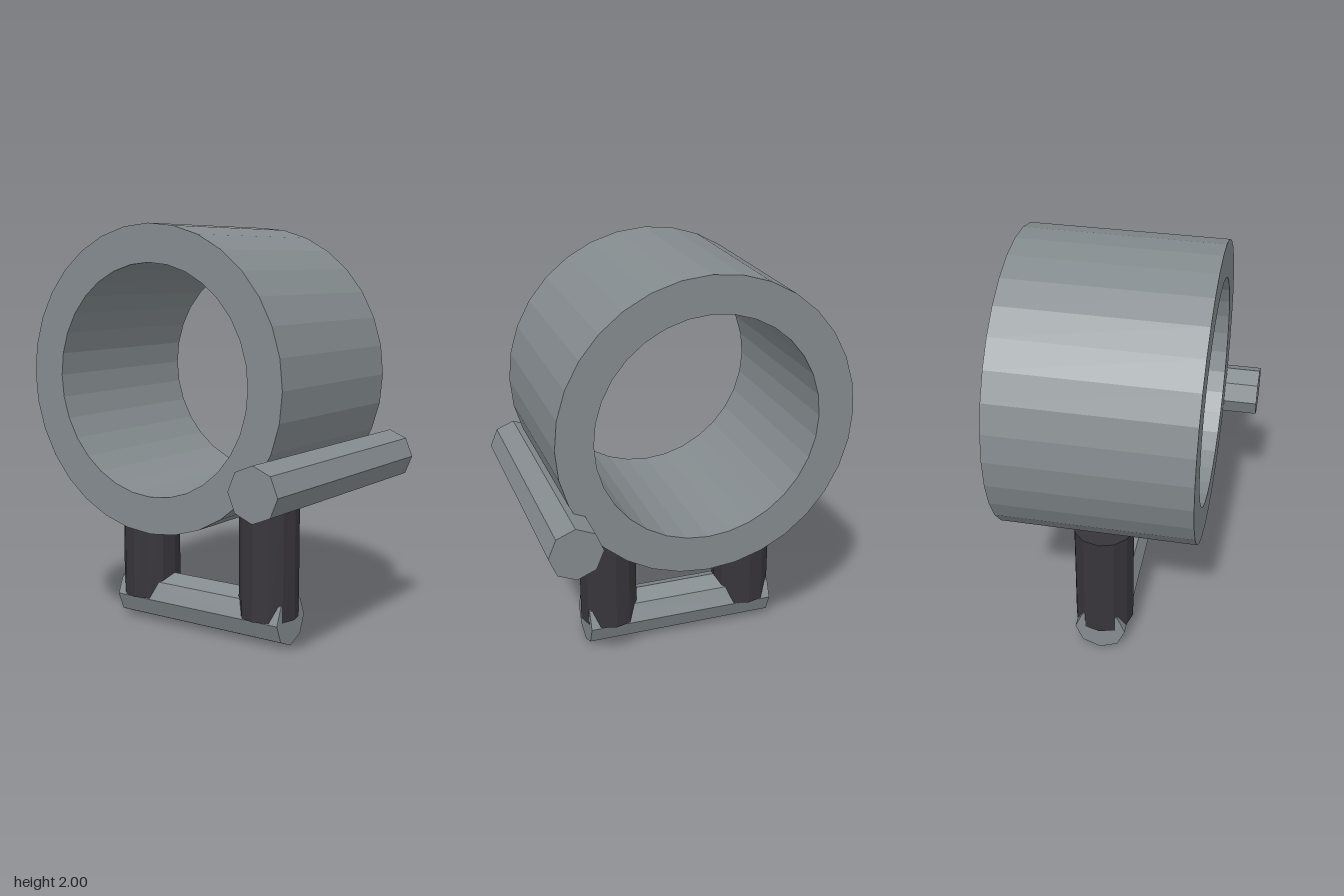
import * as THREE from 'three';

export function createModel() {
  const model = new THREE.Group();
  const grey = new THREE.MeshStandardMaterial({ color: 0x848b8e, flatShading: true });
  grey.name = 'steel grey';
  const dark = new THREE.MeshStandardMaterial({ color: 0x37353a, flatShading: true });
  dark.name = 'dark charcoal';

  const add = (name, geometry, material, x, y, z) => {
    const mesh = new THREE.Mesh(geometry, material);
    mesh.name = name;
    mesh.position.set(x, y, z);
    model.add(mesh);
  };

  // Thick open ring, 32 sides, running front to back
  const depth = 0.926;
  const shape = new THREE.Shape().absarc(0, 0, 0.713, 0, Math.PI * 2, false);
  shape.holes.push(new THREE.Path().absarc(0, 0, 0.538, 0, Math.PI * 2, true));
  const ring = new THREE.ExtrudeGeometry(shape, { depth, bevelEnabled: false, curveSegments: 16 });
  add('ring', ring, grey, -0.045, 1.287, -depth / 2);

  // Octagonal rod set into the ring's lower left side
  const rod = new THREE.CylinderGeometry(0.125, 0.125, 1.264, 8).rotateX(Math.PI / 2);
  add('sideRod', rod, grey, 0.63, 0.867, 0);

  // Octagonal bar across the bottom
  const bar = new THREE.CylinderGeometry(0.125, 0.125, 0.968, 8).rotateZ(Math.PI / 2);
  add('baseBar', bar, grey, -0.045, 0.125, 0);

  // Two posts joining the bar to the ring
  for (const [name, side] of [['leftPost', 1], ['rightPost', -1]]) {
    const post = new THREE.CylinderGeometry(0.146, 0.146, 0.57, 12);
    add(name, post, dark, -0.045 + side * 0.359, 0.415, 0);
  }
  return model;
}
